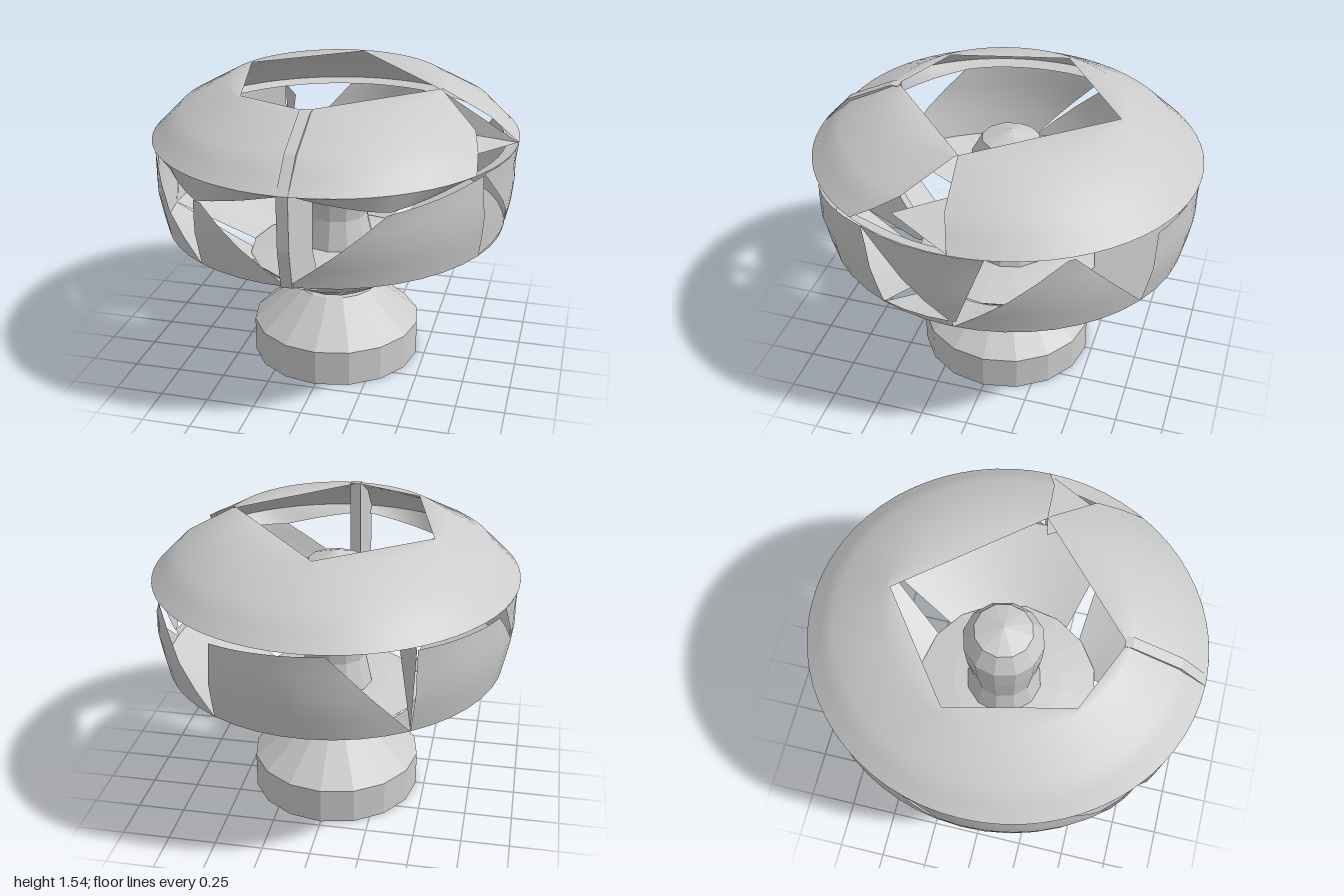
import * as THREE from 'three';

const solid = new THREE.MeshStandardMaterial({ color: 0xcccccc, flatShading: true });
const thin = new THREE.MeshStandardMaterial({ color: 0xcccccc, side: THREE.DoubleSide });

// Linear lookup in a list of [input, output] pairs
function lookup(table, x) {
  let i = 1;
  while (i < table.length - 1 && x > table[i][0]) i++;
  const [x0, y0] = table[i - 1], [x1, y1] = table[i];
  return THREE.MathUtils.mapLinear(x, x0, x1, y0, y1);
}

// Radius of the shell at a given height
const PROFILE = [[0.58, 0.475], [0.8, 0.94], [1.0, 0.985], [1.24, 0.985], [1.27, 1.0], [1.41, 0.85], [1.54, 0.6]];
const shellRadius = y => lookup(PROFILE, y);

// Angle in degrees runs from the front (+z) towards +x; the shell is slightly narrower in x
function polar(a, r, y) {
  const t = a * Math.PI / 180;
  return [0.945 * r * Math.sin(t), y, r * Math.cos(t)];
}
const lerp = THREE.MathUtils.lerp;

// Grid surface from a function of u (around) and v (up)
function surface(name, nu, nv, fn) {
  const pos = [], idx = [];
  for (let j = 0; j <= nv; j++)
    for (let i = 0; i <= nu; i++) pos.push(...fn(i / nu, j / nv));
  for (let j = 0; j < nv; j++)
    for (let i = 0; i < nu; i++) {
      const a = j * (nu + 1) + i, b = a + 1, c = a + nu + 1, d = c + 1;
      idx.push(a, b, d, a, d, c);
    }
  const g = new THREE.BufferGeometry();
  g.setAttribute('position', new THREE.Float32BufferAttribute(pos, 3));
  g.setIndex(idx);
  g.computeVertexNormals();
  const m = new THREE.Mesh(g, thin);
  m.name = name;
  return m;
}

// Shell panel from four [angle, height] corners: bottom start, bottom end, top start, top end
function panel(name, nv, b0, b1, t0, t1) {
  const span = Math.max(b1[0] - b0[0], t1[0] - t0[0]);
  return surface(name, Math.max(2, Math.round(span / 8)), nv, (u, v) => {
    const a = lerp(lerp(b0[0], b1[0], u), lerp(t0[0], t1[0], u), v);
    const y = lerp(lerp(b0[1], b1[1], u), lerp(t0[1], t1[1], u), v);
    return polar(a, shellRadius(y), y);
  });
}

function lathe(name, pts, seg, scaleX) {
  const g = new THREE.LatheGeometry(pts.map(p => new THREE.Vector2(...p)), seg);
  const m = new THREE.Mesh(g, solid);
  m.name = name;
  m.scale.x = scaleX;
  return m;
}

function triangle(name, a, b, c) {
  const g = new THREE.BufferGeometry();
  g.setAttribute('position', new THREE.Float32BufferAttribute([...a, ...b, ...c], 3));
  g.computeVertexNormals();
  const m = new THREE.Mesh(g, thin);
  m.name = name;
  return m;
}

// Radius of the five-sided top opening at an angle between 83 and 443 degrees
const HOLE = [83, 179, 251, 317, 359, 443];
function holeRadius(a) {
  let k = 0;
  while (k < 4 && a >= HOLE[k + 1]) k++;
  const rad = Math.PI / 180, half = (HOLE[k + 1] - HOLE[k]) / 2;
  return 0.58 * Math.cos(half * rad) / Math.cos((a - HOLE[k] - half) * rad);
}

export function createModel() {
  const model = new THREE.Group();
  model.name = 'pedestalLantern';

  // Foot, bowl and central post
  model.add(lathe('foot', [[0, 0], [0.465, 0], [0.465, 0.19], [0.22, 0.39], [0, 0.4]], 16, 0.975));
  model.add(lathe('bowl', [[0, 0.375], [0.16, 0.385], [0.23, 0.41], [0.38, 0.5], [0.49, 0.595], [0.3, 0.63], [0, 0.66]], 16, 0.945));
  const post = lathe('centralPost', [[0.21, 0.62], [0.17, 0.8], [0.2, 1.04], [0.21, 1.22], [0.15, 1.33], [0, 1.38]], 12, 0.96);
  post.position.z = -0.02;
  model.add(post);

  // Lower petals: [top start, top end, bottom start, bottom end]
  const lower = new THREE.Group();
  lower.name = 'lowerPetals';
  for (const [t0, t1, b0, b1] of [
    [0, 66, 16, 46], [66, 150, 59, 144], [150, 214, 156, 209],
    [214, 275, 219, 269], [275, 328, 281, 300], [328, 360, 332, 336],
  ]) lower.add(panel('lowerPetal', 1, [b0, 0.58], [b1, 0.58], [t0, 0.8], [t1, 0.8]));
  model.add(lower);

  // Side petals: bottom start, bottom end, top start, top end
  const sides = new THREE.Group();
  sides.name = 'sidePetals';
  for (const c of [
    [[0, 0.8], [66, 0.8], [29, 1.17], [62, 1.25]],
    [[66, 0.8], [90, 0.8], [66, 0.81], [90, 0.84]],
    [[90, 0.8], [150, 0.8], [122, 1.24], [124, 1.25]],
    [[150, 0.8], [214, 0.8], [152, 1.22], [188, 1.26]],
    [[214, 0.8], [275, 0.8], [214, 1.25], [248, 1.23]],
    [[275, 0.8], [328, 0.8], [250, 1.27], [300, 1.22]],
    [[328, 0.8], [360, 0.8], [329, 1.15], [332, 1.15]],
    [[89, 0.84], [91, 0.84], [62, 1.26], [100, 1.27]],
  ]) sides.add(panel('sidePetal', 4, ...c));
  model.add(sides);

  // Radial fin behind one rear petal edge
  model.add(triangle('rearFin', polar(214, 0.94, 0.8), polar(214, 0.98, 1.25), polar(214, 0.77, 1.24)));

  // Domed upper ring, left open by a wedge on one side
  const rows = [[1.27, 0], [1.34, 0.25], [1.41, 0.5], [1.54, 0.95], [1.54, 1]];
  model.add(surface('upperRing', 60, 4, (u, v) => {
    const j = Math.round(v * 4), [y, k] = rows[j];
    const a = lerp(lerp(90, 83, k), lerp(418, 443, k), u);
    return polar(a, j === 4 ? holeRadius(a) : shellRadius(y), y);
  }));

  // Turned-in skirt under the ring, dipping to meet the front petals
  const dips = [[0, 1.25], [29, 1.175], [62, 1.25], [298, 1.25], [330, 1.15], [360, 1.25]];
  model.add(surface('ringSkirt', 60, 1, (u, v) => {
    const a = u * 360, y = lookup(dips, a);
    return polar(a, lerp(0.93 + (1.25 - y) * 0.55, 1, v), lerp(y, 1.27, v));
  }));

  // Folded facets inside the wedge
  const inner = [0.54, 1.54, 0.07], low = [0.56, 1.33, 0.07], rim = [0.94, 1.27, 0];
  model.add(triangle('wedgeFin', inner, low, rim));
  model.add(triangle('wedgeShelf', low, [0.75, 1.3, 0.34], rim));

  // Radial rib at the front
  const s = new THREE.Shape();
  [[0.46, 0.58], [0.52, 0.58], [0.95, 0.8], [0.995, 1.0], [1.0, 1.27], [0.86, 1.42], [0.61, 1.543], [0.57, 1.543], [0.6, 0.85]]
    .forEach(([z, y], i) => (i ? s.lineTo(z, y) : s.moveTo(z, y)));
  const rib = new THREE.Mesh(new THREE.ExtrudeGeometry(s, { depth: 0.056, bevelEnabled: false }), solid);
  rib.name = 'frontRib';
  rib.rotation.y = -Math.PI / 2;
  rib.position.x = 0.028;
  model.add(rib);

  return model;
}
